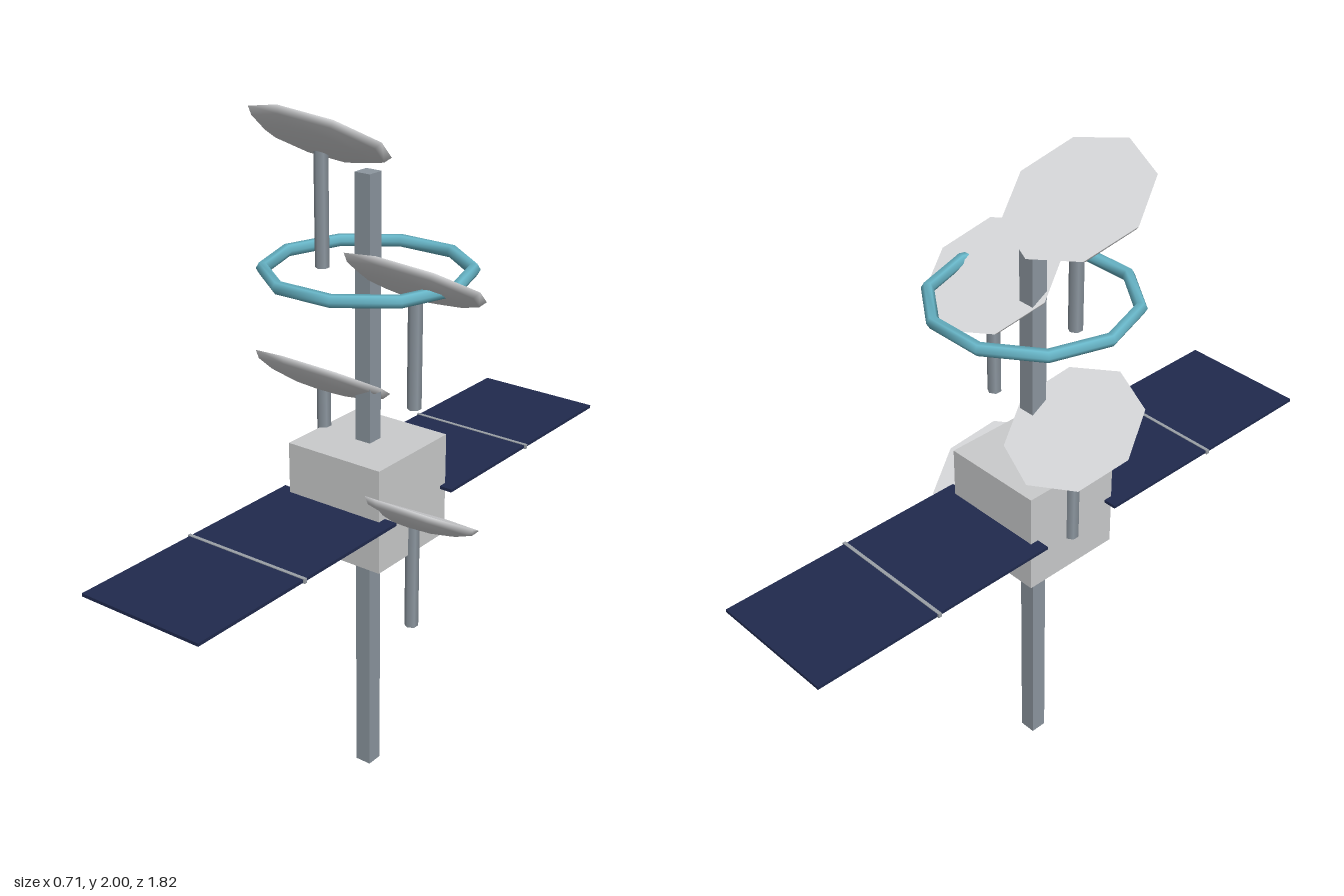
import * as THREE from 'three';

const material = (name, color) => {
  const m = new THREE.MeshStandardMaterial({ color });
  m.name = name;
  return m;
};

export function createModel() {
  const model = new THREE.Group();
  model.name = 'spaceStation';

  const steel = material('slate steel', 0x8c969f);
  const hull = material('hull grey', 0xcacbcc);
  const white = material('dish white', 0xd9dadc);
  const navy = material('solar navy', 0x202a4e);
  const seam = material('seam grey', 0x9aa0a6);
  const cyan = material('ring cyan', 0x68b6c8);

  const add = (parent, name, geometry, mat, x = 0, y = 0, z = 0) => {
    const mesh = new THREE.Mesh(geometry, mat);
    mesh.name = name;
    mesh.position.set(x, y, z);
    parent.add(mesh);
    return mesh;
  };

  // Central mast and the cubic body around it
  add(model, 'mast', new THREE.BoxGeometry(0.05, 1.82, 0.05), steel, 0, 0.91, 0);
  add(model, 'body', new THREE.BoxGeometry(0.312, 0.308, 0.312), hull, 0, 0.913, 0);

  // Solar wings, front and back, each with a seam across the middle
  for (const side of [1, -1]) {
    const wing = new THREE.Group();
    wing.name = side > 0 ? 'frontWing' : 'backWing';
    add(wing, 'solarPanel', new THREE.BoxGeometry(0.39, 0.009, 0.778), navy, 0, 0.912, side * 0.519);
    add(wing, 'panelSeam', new THREE.BoxGeometry(0.4, 0.013, 0.01), seam, 0, 0.912, side * 0.519);
    model.add(wing);
  }

  // Ten-sided ring around the mast
  const ringGeometry = new THREE.TorusGeometry(0.28, 0.018, 6, 10).rotateX(Math.PI / 2);
  add(model, 'ring', ringGeometry, cyan, 0, 1.558, 0);

  // Shallow octagonal dishes on posts, alternating sides down the mast
  const radius = 0.2;
  const bowl = new THREE.SphereGeometry(radius, 8, 4, 0, Math.PI * 2, Math.PI / 2, Math.PI / 2).scale(1, 0.25, 1);
  const face = new THREE.CircleGeometry(radius, 8).rotateX(-Math.PI / 2);
  const post = new THREE.CylinderGeometry(0.02, 0.02, 0.34, 6);
  for (let i = 0; i < 4; i++) {
    const antenna = new THREE.Group();
    antenna.name = `antenna${i + 1}`;
    antenna.position.set(i % 2 ? 0.156 : -0.156, 1.9 - i * 0.336, 0);
    add(antenna, 'post', post, steel, 0, -0.197, 0);
    const dish = new THREE.Group();
    dish.name = 'dish';
    dish.rotation.x = -Math.PI / 6;
    add(dish, 'dishBowl', bowl, white);
    add(dish, 'dishFace', face, white);
    antenna.add(dish);
    model.add(antenna);
  }

  return model;
}
